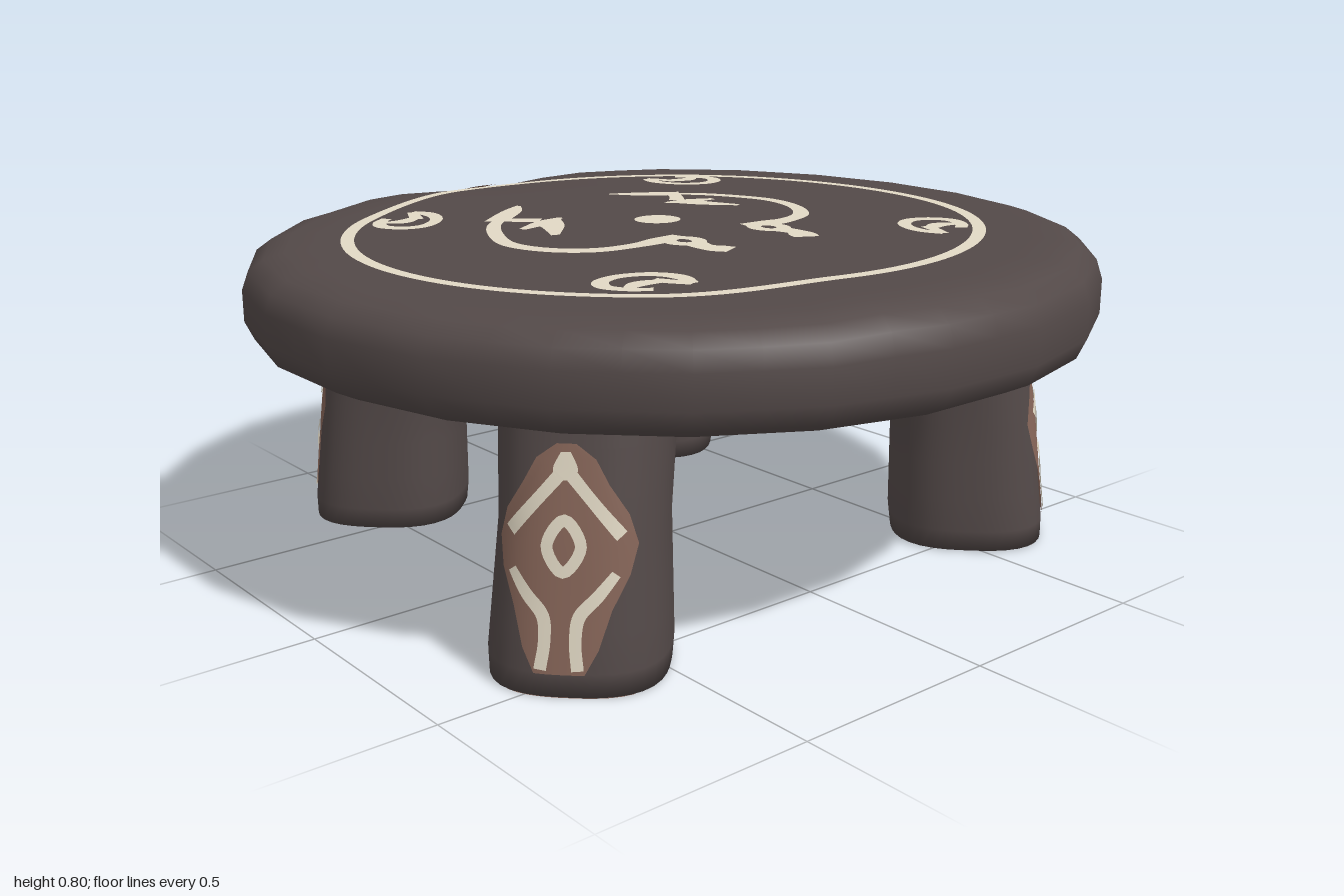
import * as THREE from 'three';
import { mergeVertices } from 'three/addons/utils/BufferGeometryUtils.js';

const material = (name, color, side = THREE.FrontSide) => {
  const m = new THREE.MeshStandardMaterial({ color, side });
  m.name = name;
  return m;
};

// Smooth normals across the seams of a geometry
function weld(geometry) {
  geometry.deleteAttribute('uv');
  geometry.deleteAttribute('normal');
  const g = mergeVertices(geometry, 1e-5);
  g.computeVertexNormals();
  return g;
}

// Surface between paired edges: each row is [ax, ay, bx, by], placed by map(u, v)
function sheet(rows, cols, map) {
  const pos = [], index = [];
  rows.forEach(([ax, ay, bx, by], j) => {
    for (let i = 0; i <= cols; i++) {
      const t = i / cols;
      pos.push(...map(ax + (bx - ax) * t, ay + (by - ay) * t));
      if (j && i) {
        const d = j * (cols + 1) + i, a = d - cols - 2;
        index.push(a, a + 1, d, a, d, d - 1);
      }
    }
  });
  const g = new THREE.BufferGeometry();
  g.setAttribute('position', new THREE.Float32BufferAttribute(pos, 3));
  g.setIndex(index);
  return weld(g);
}

// Painted line through [x, y, width] points
function stroke(points, map, closed = false) {
  const curve = new THREE.CatmullRomCurve3(points.map(p => new THREE.Vector3(...p)), closed, 'centripetal');
  const n = points.length * 6, rows = [];
  for (let i = 0; i <= n; i++) {
    const p = curve.getPoint(i / n), t = curve.getTangent(i / n);
    const k = p.z / 2 / (Math.hypot(t.x, t.y) || 1);
    rows.push([p.x - t.y * k, p.y + t.x * k, p.x + t.y * k, p.y - t.x * k]);
  }
  return sheet(rows, 2, map);
}

// Points around an ellipse, ready for a closed stroke()
const loop = (cx, cy, rx, ry, width, n) => Array.from({ length: n }, (_, i) => {
  const a = Math.PI * 2 * i / n;
  return [cx + Math.cos(a) * rx, cy + Math.sin(a) * ry, width];
});

// Uneven height of the table top, with a chip at the back
const topHeight = (x, z) => 0.789 - 0.017 * THREE.MathUtils.smoothstep(-x, 0.15, 0.5)
  + 0.003 * Math.sin(4 * x + 1) * Math.cos(3 * z)
  - 0.05 * Math.exp(-(x * x) / 0.07 - (z + 1) ** 2 / 0.02);
// Paint plane over the table top; v runs towards the back
const onTop = (x, v) => {
  const r = Math.hypot(x, v);
  return [x, topHeight(x, -v) - Math.max(0, r - 0.9) * 0.35 + 0.006, -v];
};

// Round slab with a 24-sided outline
function slabPart(profile) {
  const g = new THREE.LatheGeometry(profile.map(p => new THREE.Vector2(...p)), 48);
  const p = g.attributes.position, step = Math.PI / 12;
  for (let i = 0; i < p.count; i++) {
    const phi = Math.atan2(p.getX(i), p.getZ(i));
    const k = 1 / Math.cos(phi - Math.round(phi / step) * step);
    const x = p.getX(i) * k, z = p.getZ(i) * k, y = p.getY(i);
    const lift = THREE.MathUtils.clamp((y - 0.6) / 0.189, 0, 1);
    p.setXYZ(i, x, y + (topHeight(x, z) - 0.789) * lift, z);
  }
  return weld(g);
}

// Interpolate [y, ...values] rows at height y
function sample(rows, y) {
  let i = 1;
  while (i < rows.length - 1 && rows[i][0] < y) i++;
  const a = rows[i - 1], b = rows[i], t = (y - a[0]) / (b[0] - a[0]);
  return a.map((v, k) => v + (b[k] - v) * t);
}

// Leg sections: y, centre x, centre z, half width
const frontSections = [[0, 0.61, 0.44, 0.188], [0.05, 0.607, 0.438, 0.191], [0.32, 0.587, 0.431, 0.175], [0.6, 0.546, 0.397, 0.183]];
const backSections = [[0, 0.435, -0.635, 0.188], [0.05, 0.434, -0.632, 0.191], [0.32, 0.427, -0.612, 0.175], [0.6, 0.39, -0.567, 0.184]];

export function createModel() {
  const model = new THREE.Group();
  const stone = material('dark stone', 0x534948);
  const clay = material('red clay paint', 0x866558, THREE.DoubleSide);
  const cream = material('cream paint', 0xe2d9c5, THREE.DoubleSide);
  const add = (parent, name, geometry, mat) => {
    const mesh = new THREE.Mesh(geometry, mat);
    mesh.name = name;
    parent.add(mesh);
  };

  // Table top
  const slab = new THREE.Group();
  slab.name = 'tableTop';
  model.add(slab);
  add(slab, 'slab', slabPart([[0.93, 0.55], [0.98, 0.575], [1, 0.62], [1, 0.7], [0.985, 0.745], [0.95, 0.773],
    [0.9, 0.789], [0.82, 0.789], [0.74, 0.789], [0.6, 0.789], [0.45, 0.789], [0.3, 0.789], [0.15, 0.789], [0, 0.789]]), stone);
  add(slab, 'underside', slabPart([[0, 0.55], [0.93, 0.55]]), stone);

  // Painted ring, centre dot and clay mark
  const paint = (name, points, closed = false, mat = cream) =>
    add(slab, name, stroke(points.map(([x, z, w]) => [x, -z, w]), onTop, closed), mat);
  paint('outerRing', loop(-0.013, -0.01, 0.755, 0.735, 0.031, 24), true);
  const dot = Array.from({ length: 13 }, (_, i) => {
    const a = Math.PI * i / 12, w = 0.056 * Math.sin(a), v = 0.03 - 0.056 * Math.cos(a);
    return [-0.02 - w, v, -0.02 + w, v];
  });
  add(slab, 'centreDot', sheet(dot, 4, onTop), cream);
  paint('clayMark', [[0.005, -0.97, 0.02], [0, -0.92, 0.058], [0.014, -0.86, 0.062], [0.022, -0.805, 0.03]], false, clay);

  for (const s of [-1, 1]) {
    const mx = pts => pts.map(([x, z, w]) => [-0.015 + s * x, z, w]);
    // Curved crescent with hooked ends
    paint('crescent', mx([[0.25, -0.32, 0.03], [0.315, -0.27, 0.034], [0.375, -0.17, 0.036], [0.405, -0.07, 0.036],
      [0.38, 0.045, 0.036], [0.31, 0.14, 0.04], [0.23, 0.175, 0.045], [0.17, 0.178, 0.06], [0.1, 0.165, 0.04]]));
    paint('upperTip', mx([[0.145, -0.415, 0.012], [0.2, -0.365, 0.05], [0.29, -0.3, 0.06]]));
    paint('upperBranch', mx([[0.28, -0.32, 0.035], [0.25, -0.265, 0.035], [0.215, -0.22, 0.04]]));
    paint('upperBarb', mx([[0.165, -0.205, 0.015], [0.225, -0.19, 0.05], [0.3, -0.175, 0.02]]));
    paint('upperSpike', mx([[0.21, -0.2, 0.07], [0.235, -0.14, 0.055], [0.285, -0.06, 0.02]]));
    paint('lowerLoop', mx(loop(0.13, 0.218, 0.032, 0.038, 0.034, 10)), true);
    paint('lowerTail', mx([[0.13, 0.25, 0.06], [0.138, 0.3, 0.05], [0.13, 0.33, 0.065], [0.115, 0.36, 0.06]]));

    // Eye-shaped marks above the legs
    for (const q of [-1, 1]) {
      const eye = pts => pts.map(([x, z, w]) => [s * (0.45 + x), q * z + (q < 0 ? -0.482 : 0.44), w]);
      paint('eyeCurve', eye([[0.016, 0.064, 0.028], [0.055, 0.03, 0.032], [0.075, -0.02, 0.036], [0.05, -0.065, 0.036],
        [0, -0.08, 0.034], [-0.05, -0.055, 0.032], [-0.078, -0.012, 0.032], [-0.085, 0.035, 0.034], [-0.07, 0.085, 0.025]]));
      paint('eyeBar', eye([[-0.07, 0.085, 0.025], [-0.05, 0.04, 0.03], [-0.035, 0, 0.03]]));
      paint('eyePupil', eye([[0.045, 0.02, 0.025], [0.005, 0.005, 0.045], [-0.04, 0.02, 0.03]]));
    }
  }

  // Legs, each facing outward along a diagonal
  for (const sx of [-1, 1]) for (const sections of [frontSections, backSections]) {
    const back = sections === backSections;
    const leg = new THREE.Group();
    leg.name = (back ? 'back' : 'front') + (sx > 0 ? 'Left' : 'Right') + 'Leg';
    model.add(leg);
    const dx = sx * Math.SQRT1_2, dz = (back ? -1 : 1) * Math.SQRT1_2;
    // Rounded-square section
    const surface = (phi, y, scale = 1, lift = 0) => {
      const [, cx, cz, half] = sample(sections, y);
      const c = Math.cos(phi), s = Math.sin(phi);
      const r = scale * half / Math.pow(Math.abs(c) ** 2.7 + Math.abs(s) ** 2.7, 1 / 2.7) + lift;
      return [sx * cx + r * (c * dx + s * dz), y, cz + r * (c * dz - s * dx)];
    };
    // Body, with rows below zero closing the foot
    const rows = [-1, 0, 0.05, 0.13, 0.22, 0.32, 0.4, 0.5, 0.6].map(v => [-Math.PI, v, Math.PI, v]);
    add(leg, 'legBody', sheet(rows, 40, (phi, v) => surface(phi, Math.max(v, 0), Math.min(1, 1 + v))), stone);
    if (!back) add(leg, 'footPaint', sheet([[-0.55, 0.82, 0.55, 0.82], [-0.7, 0.99, 0.7, 0.99]], 10,
      (phi, k) => surface(phi, -0.002, k)), clay);

    // Clay patch with cream figure
    const shift = back ? 0 : 0.018 * sx;
    const on = lift => (u, y) => surface((u + shift) / 0.19, y, 1, lift);
    const wide = back ? 1 : 1.1;
    const patch = [[0.05, 0.045], [0.1, 0.068], [0.18, 0.09], [0.25, 0.122], [0.31, 0.138], [0.37, 0.118],
      [0.43, 0.08], [0.48, 0.055], [0.51, 0.018]].map(([y, w]) => [-w * wide, y, w * wide, y]);
    add(leg, 'clayPatch', sheet(patch, 12, on(0.004)), clay);
    const draw = (name, pts, closed) => add(leg, name, stroke(pts, on(0.008), closed), cream);
    draw('diamond', loop(0, 0.31, 0.035, back ? 0.042 : 0.052, 0.024, back ? 8 : 4), true);
    draw('crown', [[0, 0.495, 0.02], [0, 0.46, 0.05], [0, 0.44, 0.03]]);
    for (const m of [-1, 1]) {
      if (back) {
        draw('dash', [[m * 0.04, 0.425, 0.024], [m * 0.068, 0.39, 0.024]]);
        draw('sideDot', [[m * 0.09, 0.365, 0.022], [m * 0.105, 0.335, 0.022]]);
      } else {
        draw('chevron', [[m * 0.012, 0.45, 0.026], [m * 0.055, 0.4, 0.024], [m * 0.115, 0.33, 0.026]]);
      }
      draw('lowerLine', [[m * 0.105, 0.255, 0.02], [m * 0.07, 0.21, 0.025], [m * 0.036, 0.17, 0.026], [m * 0.03, 0.12, 0.024], [m * 0.036, 0.06, 0.024]]);
    }
  }
  return model;
}
